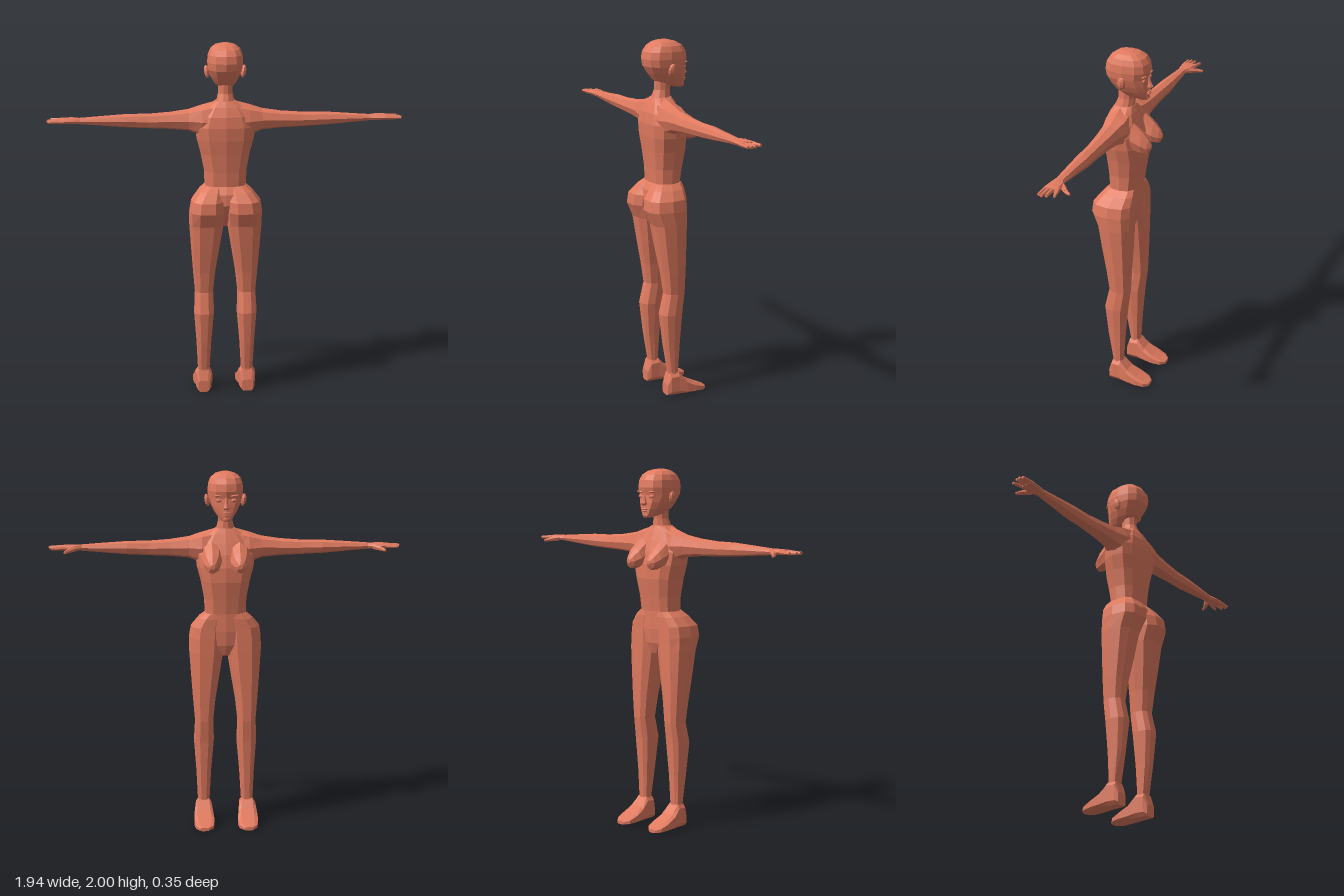
import * as THREE from 'three';

const skin = new THREE.MeshStandardMaterial({ color: 0xe07a5f, flatShading: true });
skin.name = 'terracottaSkin';

// Closed skin through rounded-box rings. Section: [t, u0, u1, v0, v1],
// where t runs along the axis and (u, v) are the other two axes in x, y, z order.
function loft(axis, sections, { n = 10, power = 0.75, turn = 0, mirror = 1 } = {}) {
  const place = (t, u, v) => {
    const p = axis === 'x' ? [t, u, v] : axis === 'y' ? [u, t, v] : [u, v, t];
    return new THREE.Vector3(p[0] * mirror, p[1], p[2]);
  };
  const round = (c) => Math.sign(c) * Math.abs(c) ** power;
  const pts = [];
  for (const [t, u0, u1, v0, v1] of sections) {
    for (let i = 0; i < n; i++) {
      const a = (i / n) * Math.PI * 2 + turn;
      pts.push(place(t, (u0 + u1) / 2 + round(Math.cos(a)) * (u1 - u0) / 2,
        (v0 + v1) / 2 + round(Math.sin(a)) * (v1 - v0) / 2));
    }
  }
  const last = sections.length - 1;
  for (const k of [0, last]) {
    const [t, u0, u1, v0, v1] = sections[k];
    pts.push(place(t, (u0 + u1) / 2, (v0 + v1) / 2));
  }
  const idx = [];
  for (let i = 0; i < n; i++) {
    const j = (i + 1) % n;
    for (let k = 0; k < last; k++) {
      const a = k * n + i, b = k * n + j;
      idx.push(a, b, b + n, a, b + n, a + n);
    }
    idx.push(pts.length - 2, j, i, pts.length - 1, last * n + i, last * n + j);
  }
  // Signed volume tells whether the faces point outwards
  let volume = 0;
  const cross = new THREE.Vector3();
  for (let i = 0; i < idx.length; i += 3) {
    volume += pts[idx[i]].dot(cross.crossVectors(pts[idx[i + 1]], pts[idx[i + 2]]));
  }
  if (volume < 0) idx.reverse();
  const g = new THREE.BufferGeometry().setFromPoints(pts);
  g.setIndex(idx);
  g.computeVertexNormals();
  return g;
}

export function createModel() {
  const model = new THREE.Group();
  model.name = 'figure';
  const add = (name, geometry) => {
    const m = new THREE.Mesh(geometry, skin);
    m.name = name;
    model.add(m);
    return m;
  };
  const blob = (name, pos, size, rotX = 0, rotZ = 0, w = 8, h = 6) => {
    const m = add(name, new THREE.SphereGeometry(1, w, h));
    m.position.set(...pos);
    m.scale.set(...size);
    m.rotation.set(rotX, 0, rotZ);
    return m;
  };
  // Tapered finger between two points
  const finger = (name, p, q, r0, r1) => {
    const a = new THREE.Vector3(...p), b = new THREE.Vector3(...q);
    const dir = b.clone().sub(a);
    const m = add(name, new THREE.CylinderGeometry(r1, r0, dir.length(), 6));
    m.position.copy(a).add(b).multiplyScalar(0.5);
    m.quaternion.setFromUnitVectors(new THREE.Vector3(0, 1, 0), dir.normalize());
  };
  // Centred vertical sections: [y, half width, front z, back z]
  const centred = (rows) => rows.map(([y, w, f, b]) => [y, -w, w, f, b]);

  add('torso', loft('y', centred([
    [0.98, 0.025, -0.03, 0.04],
    [1.04, 0.08, -0.052, 0.09],
    [1.12, 0.14, -0.06, 0.135],
    [1.18, 0.145, -0.06, 0.13],
    [1.22, 0.115, -0.06, 0.105],
    [1.3, 0.118, -0.072, 0.11],
    [1.4, 0.137, -0.088, 0.12],
    [1.48, 0.158, -0.088, 0.13],
    [1.55, 0.165, -0.075, 0.133],
    [1.61, 0.14, -0.055, 0.125],
    [1.66, 0.1, -0.035, 0.105],
    [1.69, 0.055, -0.022, 0.088],
  ]), { n: 12 }));

  add('neck', loft('y', centred([
    [1.64, 0.075, -0.03, 0.1],
    [1.69, 0.05, -0.022, 0.086],
    [1.73, 0.04, -0.02, 0.07],
    [1.82, 0.042, -0.025, 0.07],
  ]), { n: 10, power: 1 }));

  add('head', loft('y', centred([
    [1.738, 0.022, -0.1, -0.055],
    [1.757, 0.042, -0.106, 0.035],
    [1.785, 0.062, -0.107, 0.08],
    [1.82, 0.08, -0.105, 0.106],
    [1.86, 0.094, -0.101, 0.13],
    [1.9, 0.098, -0.11, 0.137],
    [1.94, 0.094, -0.104, 0.13],
    [1.97, 0.082, -0.085, 0.108],
    [1.99, 0.058, -0.05, 0.08],
    [2.0, 0.025, -0.01, 0.05],
  ]), { n: 12, power: 0.8 }));

  // Face
  add('nose', loft('y', centred([
    [1.803, 0.014, -0.116, -0.08],
    [1.813, 0.017, -0.131, -0.08],
    [1.835, 0.01, -0.119, -0.08],
    [1.87, 0.007, -0.104, -0.08],
  ]), { n: 6, power: 1, turn: Math.PI / 6 }));
  blob('upperLip', [0, 1.784, -0.105], [0.025, 0.006, 0.011]);
  blob('lowerLip', [0, 1.774, -0.104], [0.02, 0.006, 0.011]);
  blob('chin', [0, 1.75, -0.092], [0.024, 0.014, 0.015]);

  for (const s of [1, -1]) {
    blob('eye', [s * 0.04, 1.852, -0.089], [0.018, 0.011, 0.012], 0, s * 0.12);
    blob('brow', [s * 0.042, 1.877, -0.093], [0.028, 0.006, 0.011], 0, s * 0.12);
    blob('ear', [s * 0.1, 1.845, 0.012], [0.015, 0.036, 0.024], -0.2, -s * 0.15);

    add('breast', loft('z', [
      [-0.152, 0.062, 0.088, 1.485, 1.51],
      [-0.137, 0.045, 0.108, 1.458, 1.535],
      [-0.105, 0.026, 0.125, 1.455, 1.57],
      [-0.05, 0.018, 0.135, 1.46, 1.62],
    ], { n: 8, power: 1, mirror: s }));

    // Leg with hip and buttock: [y, inner x, outer x, front z, back z]
    add('leg', loft('y', [
      [0.07, 0.09, 0.16, -0.02, 0.055],
      [0.13, 0.09, 0.157, -0.006, 0.052],
      [0.3, 0.08, 0.165, -0.016, 0.08],
      [0.48, 0.064, 0.178, -0.03, 0.1],
      [0.6, 0.068, 0.172, -0.046, 0.073],
      [0.72, 0.055, 0.182, -0.05, 0.09],
      [0.87, 0.03, 0.193, -0.055, 0.118],
      [1.0, 0.009, 0.202, -0.058, 0.14],
      [1.08, 0.004, 0.202, -0.06, 0.176],
      [1.14, 0.004, 0.192, -0.06, 0.17],
      [1.19, 0.006, 0.152, -0.06, 0.133],
      [1.22, 0.008, 0.115, -0.055, 0.103],
    ], { n: 10, mirror: s }));

    add('foot', loft('z', [
      [0.07, 0.092, 0.158, 0, 0.07],
      [0.05, 0.08, 0.168, 0, 0.13],
      [0.0, 0.077, 0.172, 0, 0.135],
      [-0.045, 0.07, 0.18, 0, 0.085],
      [-0.1, 0.064, 0.183, 0, 0.053],
      [-0.15, 0.072, 0.175, 0, 0.03],
      [-0.176, 0.1, 0.15, 0, 0.02],
    ], { n: 8, power: 0.45, turn: Math.PI / 8, mirror: s }));

    // Arm: [x, bottom y, top y, front z, back z]
    add('arm', loft('x', [
      [0.05, 1.47, 1.69, -0.04, 0.115],
      [0.13, 1.495, 1.668, -0.045, 0.11],
      [0.2, 1.525, 1.645, -0.028, 0.09],
      [0.3, 1.535, 1.63, -0.018, 0.08],
      [0.42, 1.54, 1.621, -0.01, 0.07],
      [0.54, 1.546, 1.62, -0.013, 0.068],
      [0.66, 1.556, 1.612, -0.004, 0.062],
      [0.8, 1.568, 1.602, 0.004, 0.055],
    ], { n: 8, power: 0.9, mirror: s }));

    add('palm', loft('x', [
      [0.79, 1.568, 1.602, 0.004, 0.055],
      [0.83, 1.57, 1.603, -0.016, 0.063],
      [0.88, 1.572, 1.602, -0.018, 0.068],
      [0.9, 1.576, 1.598, -0.014, 0.066],
    ], { n: 8, mirror: s }));
    [[-0.006, -0.022, 0.95], [0.016, 0.016, 0.965], [0.036, 0.04, 0.97], [0.055, 0.058, 0.962]]
      .forEach(([z0, z1, x]) => finger('finger', [s * 0.875, 1.587, z0], [s * x, 1.585, z1], 0.012, 0.008));
    finger('thumb', [s * 0.825, 1.583, 0.0], [s * 0.862, 1.575, -0.04], 0.017, 0.012);
    finger('thumbTip', [s * 0.86, 1.575, -0.036], [s * 0.878, 1.57, -0.068], 0.012, 0.007);
  }
  return model;
}
